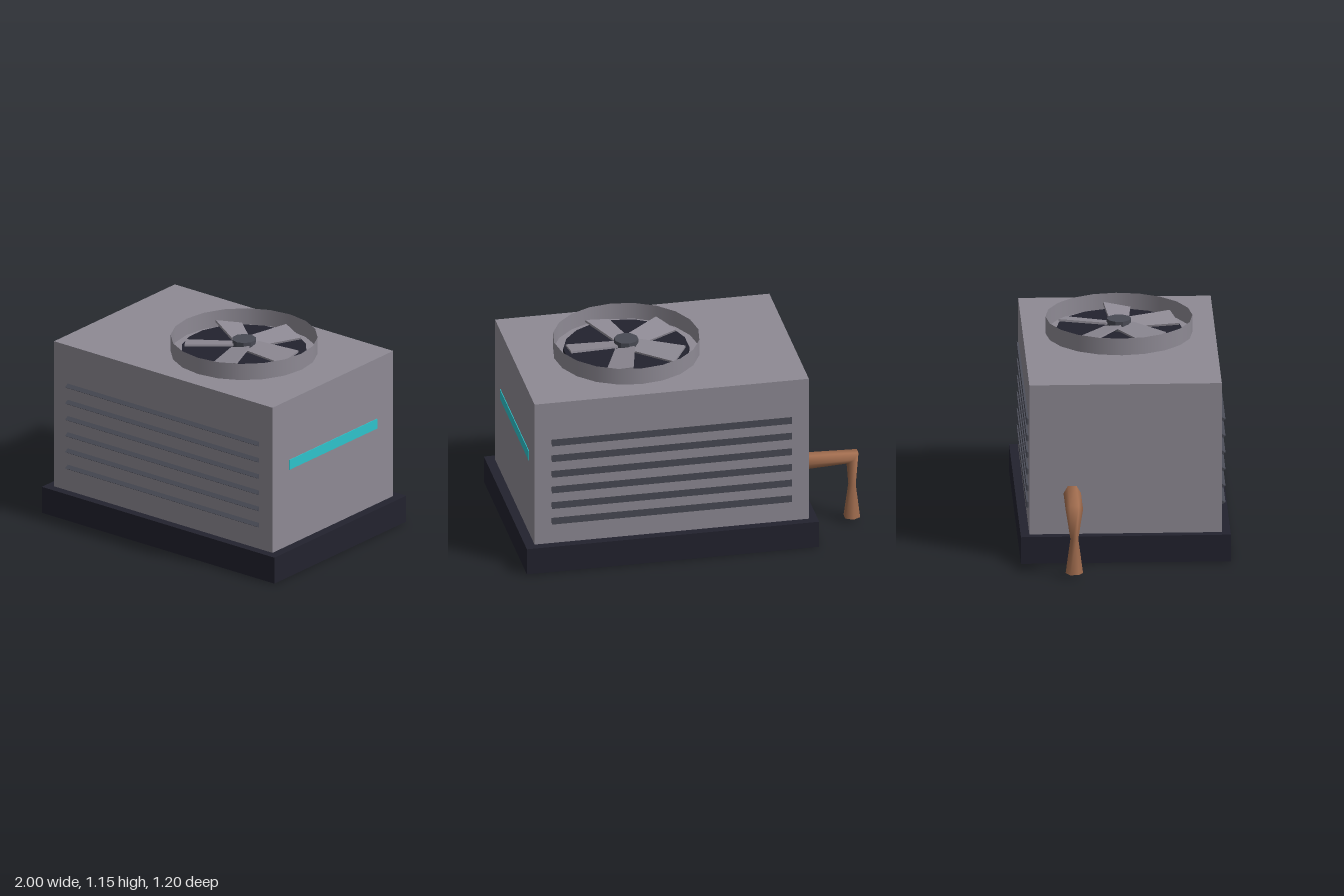
import * as THREE from 'three';

const material = (name, color, side = THREE.FrontSide, flatShading = false) => {
  const m = new THREE.MeshStandardMaterial({ color, side, flatShading });
  m.name = name;
  return m;
};

export function createModel() {
  const model = new THREE.Group();
  model.name = 'condenserUnit';
  const casing = material('casing grey', 0x8e8a94, THREE.DoubleSide);
  const dark = material('dark base', 0x22222e);
  const iron = material('iron', 0x484a54, THREE.FrontSide, true);
  const cyan = material('cyan stripe', 0x2ec4cc);
  const copper = material('copper', 0xa06c4e, THREE.DoubleSide);

  const add = (name, geometry, mat, x, y, z, parent = model) => {
    const mesh = new THREE.Mesh(geometry, mat);
    mesh.name = name;
    mesh.position.set(x, y, z);
    parent.add(mesh);
    return mesh;
  };

  // Plinth, cabinet and side stripe
  add('base', new THREE.BoxGeometry(1.705, 0.16, 1.2), dark, 0.1475, 0.08, 0);
  add('cabinet', new THREE.BoxGeometry(1.6, 0.895, 1.1), casing, 0.145, 0.6075, 0);
  add('sideStripe', new THREE.BoxGeometry(0.008, 0.06, 0.8), cyan, 0.945, 0.655, 0);

  // Triangular louvre bars on front and back, all pointing to +z
  const bar = new THREE.CylinderGeometry(0.025, 0.025, 1.4, 3).rotateZ(Math.PI / 2);
  for (const z of [0.55, -0.55]) {
    for (let i = 0; i < 6; i++) {
      add(z > 0 ? 'frontLouvre' : 'backLouvre', bar, iron, 0.145, 0.305 + i * 0.1, z);
    }
  }

  // Fan: open shroud, dark well, hub and five pitched blades
  const fan = new THREE.Group();
  fan.name = 'fan';
  fan.position.set(0.295, 1.055, 0);
  model.add(fan);
  add('fanShroud', new THREE.CylinderGeometry(0.42, 0.42, 0.1, 20, 1, true), casing, 0, 0.05, 0, fan);
  add('fanWell', new THREE.CylinderGeometry(0.36, 0.36, 0.025, 18), dark, 0, 0.0125, 0, fan);
  add('fanHub', new THREE.CylinderGeometry(0.07, 0.07, 0.06, 10), iron, 0, 0.055, 0, fan);

  const outline = new THREE.Shape();
  outline.moveTo(0.06, -0.057);
  outline.lineTo(0.337, -0.079);
  outline.lineTo(0.337, 0.079);
  outline.lineTo(0.06, 0.057);
  outline.closePath();
  const blade = new THREE.ExtrudeGeometry(outline, { depth: 0.012, bevelEnabled: false });
  blade.translate(0, 0, -0.006).rotateX(-Math.PI / 2 + 0.2);
  for (let i = 0; i < 5; i++) {
    add('fanBlade', blade, casing, 0, 0.052, 0, fan).rotation.y = (i * Math.PI * 2) / 5;
  }

  // Hexagonal pipe: centre x, centre y, tilt of the ring, scale
  const rings = [
    [-0.65, 0.405, Math.PI / 2, 1],
    [-0.96, 0.407, Math.PI / 4, 1],
    [-0.958, 0.23, 0, 0.45],
    [-0.957, 0.025, 0, 1],
  ];
  const sides = 6;
  const positions = [];
  const index = [];
  rings.forEach(([x, y, tilt, scale], r) => {
    for (let i = 0; i < sides; i++) {
      const a = (i / sides) * Math.PI * 2;
      const across = Math.sin(a) * 0.05 * scale;
      positions.push(
        x + across * Math.cos(tilt),
        y - across * Math.sin(tilt),
        -0.305 + Math.cos(a) * 0.05 * scale
      );
      if (r < rings.length - 1) {
        const p = r * sides + i;
        const q = r * sides + ((i + 1) % sides);
        index.push(p, p + sides, q, q, p + sides, q + sides);
      }
    }
  });
  const pipe = new THREE.BufferGeometry();
  pipe.setAttribute('position', new THREE.Float32BufferAttribute(positions, 3));
  pipe.setIndex(index);
  pipe.computeVertexNormals();
  add('copperPipe', pipe, copper, 0, 0, 0);
  const cap = new THREE.CircleGeometry(0.05, sides).rotateX(Math.PI / 2).rotateY(Math.PI / 2);
  add('pipeEnd', cap, copper, -0.957, 0.025, -0.305);

  return model;
}
